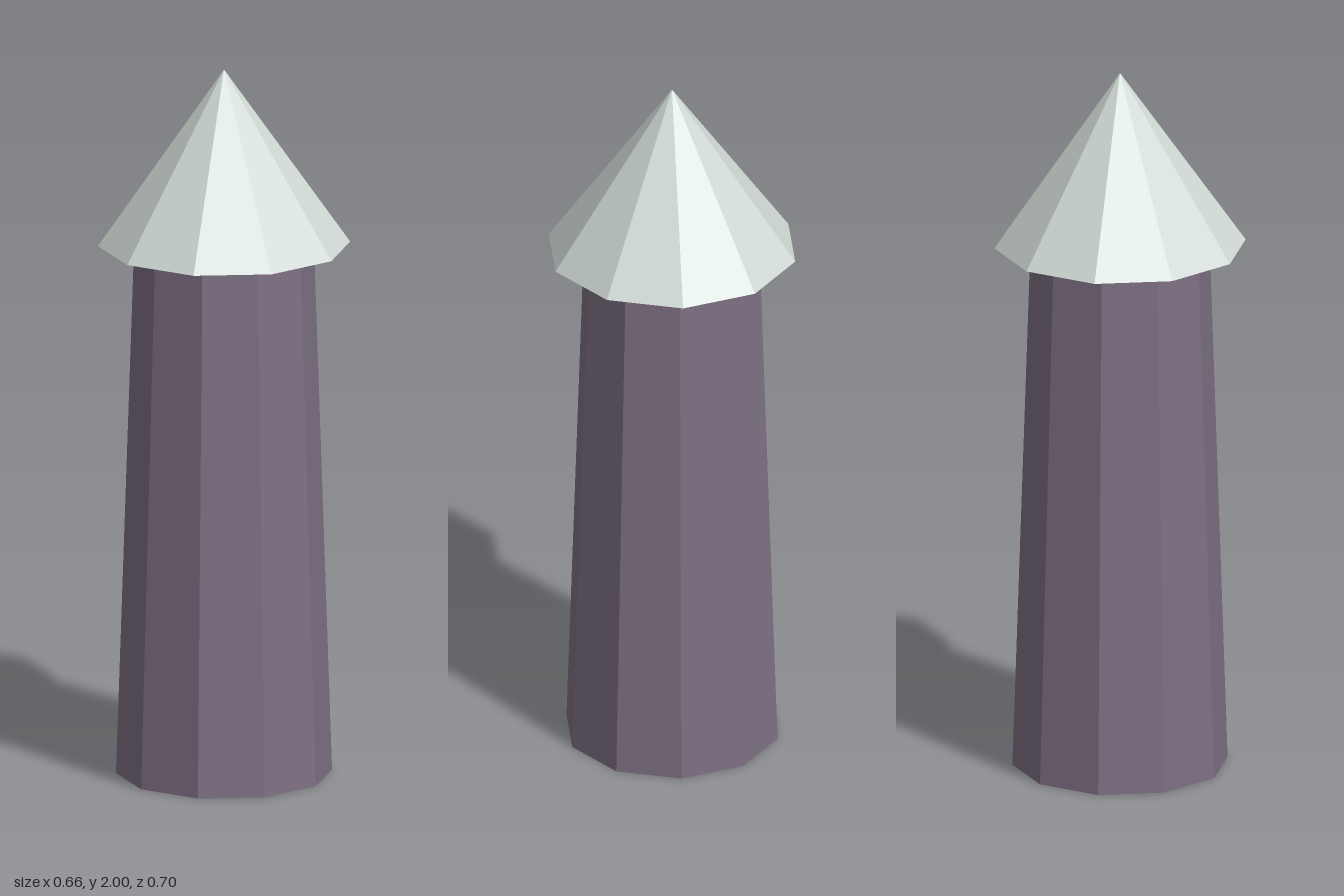
import * as THREE from 'three';

export function createModel() {
  const group = new THREE.Group();
  const sides = 10;
  const wallHeight = 1.503;
  const roofHeight = 2 - wallHeight;

  const flatMaterial = (name, color) => {
    const material = new THREE.MeshStandardMaterial({ color, flatShading: true });
    material.name = name;
    return material;
  };
  const addPart = (name, geometry, material, y) => {
    const mesh = new THREE.Mesh(geometry, material);
    mesh.name = name;
    mesh.position.y = y;
    group.add(mesh);
  };

  // Tapered ten-sided tower, one corner facing the front
  addPart('towerWall', new THREE.CylinderGeometry(0.248, 0.298, wallHeight, sides),
    flatMaterial('dusky purple', 0x7e7083), wallHeight / 2);

  // Overhanging pointed roof with a closed underside
  addPart('roof', new THREE.ConeGeometry(0.348, roofHeight, sides),
    flatMaterial('pale grey green', 0xd0dad5), wallHeight + roofHeight / 2);

  return group;
}
